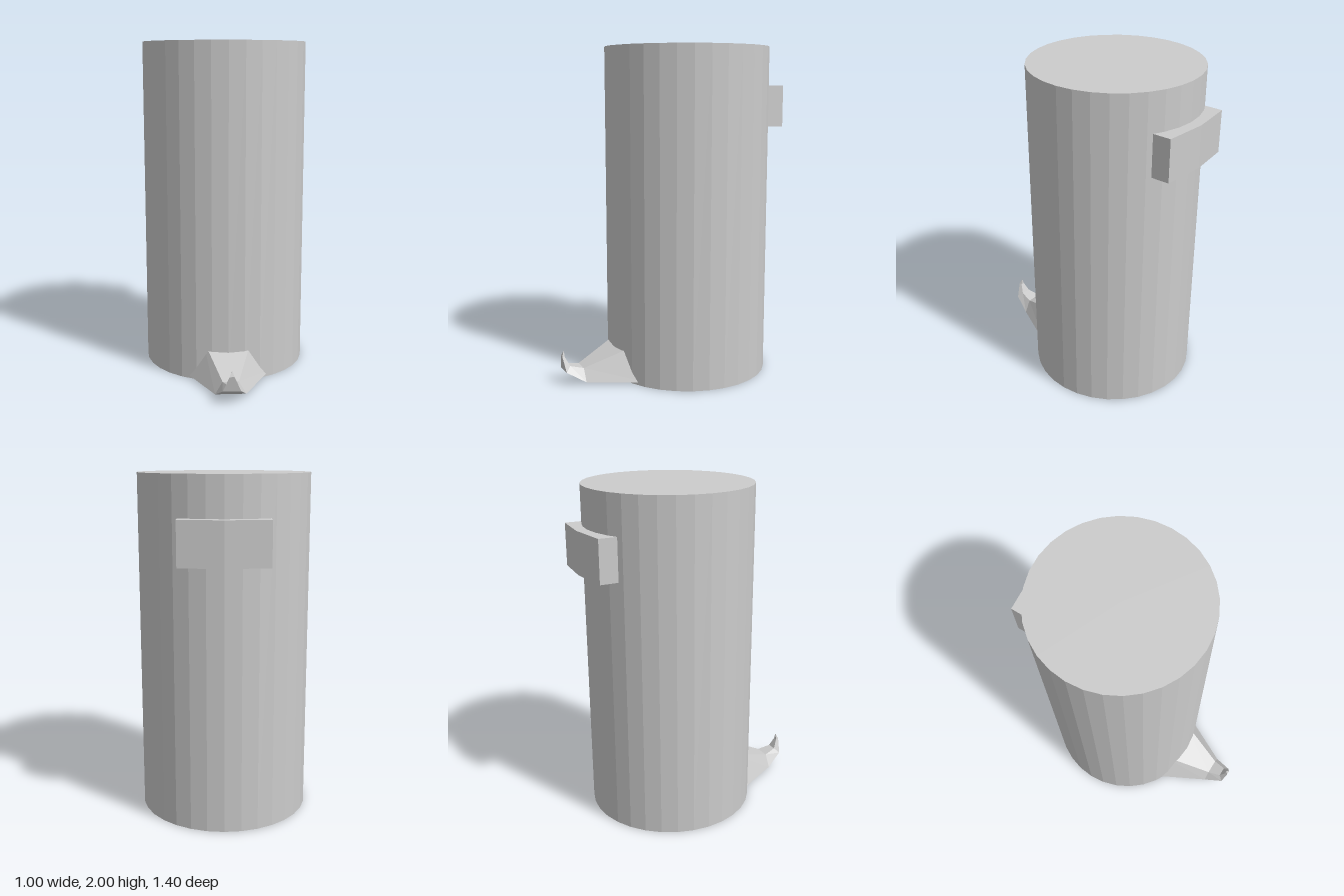
import * as THREE from 'three';

const CENTER_Z = -0.135, RADIUS = 0.5, SIDES = 32;

function addPart(group, name, geometry) {
  const material = new THREE.MeshStandardMaterial({ color: 0xcccccc, flatShading: true });
  const mesh = new THREE.Mesh(geometry, material);
  mesh.name = name;
  group.add(mesh);
  return mesh;
}

// Joins four-cornered sections (bottom right, bottom left, top left, top right) with flat faces.
function loft(sections) {
  const rings = sections.map(([zb, yb, xb, zt, yt, xt]) => [
    [-xb, yb, zb], [xb, yb, zb], [xt, yt, zt], [-xt, yt, zt],
  ]);
  const positions = [];
  const quad = (a, b, c, d) => positions.push(...a, ...b, ...c, ...a, ...c, ...d);
  for (let i = 0; i < rings.length - 1; i++) {
    const p = rings[i], q = rings[i + 1];
    for (let j = 0; j < 4; j++) {
      const k = (j + 1) % 4;
      quad(p[j], p[k], q[k], q[j]);
    }
  }
  const first = rings[0], last = rings[rings.length - 1];
  quad(first[3], first[2], first[1], first[0]);
  quad(last[0], last[1], last[2], last[3]);
  // Wind every face outwards
  const geometry = new THREE.BufferGeometry();
  geometry.setAttribute('position', new THREE.Float32BufferAttribute(positions, 3));
  geometry.computeVertexNormals();
  return geometry;
}

export function createModel() {
  const group = new THREE.Group();
  group.name = 'pedalBin';

  // Faceted body
  const body = addPart(group, 'body', new THREE.CylinderGeometry(RADIUS, RADIUS, 2, SIDES));
  body.position.set(0, 1, CENTER_Z);

  // Hinge block at the back, its inner side following the body
  const outline = new THREE.Shape();
  outline.moveTo(0.25, 0.54);
  outline.lineTo(0, 0.565);
  outline.lineTo(-0.25, 0.54);
  outline.lineTo(-0.25, 0.432);
  for (let i = -2; i <= 2; i++) {
    const angle = (i / SIDES) * Math.PI * 2;
    outline.lineTo(Math.sin(angle) * RADIUS, Math.cos(angle) * RADIUS);
  }
  outline.lineTo(0.25, 0.432);
  const block = new THREE.ExtrudeGeometry(outline, { depth: 0.25, bevelEnabled: false });
  block.rotateX(-Math.PI / 2);
  const hinge = addPart(group, 'hingeBlock', block);
  hinge.position.set(0, 1.52, CENTER_Z);

  // Foot pedal: tapers forward, then curls up to a point
  // Each section: bottom z, y, half width, then top z, y, half width
  addPart(group, 'pedal', loft([
    [0.25, 0.015, 0.261, 0.25, 0.226, 0.15],
    [0.58, 0.015, 0.09, 0.58, 0.09, 0.047],
    [0.69, 0.08, 0.052, 0.66, 0.11, 0.03],
    [0.703, 0.17, 0.014, 0.687, 0.165, 0.012],
    [0.69, 0.2, 0.001, 0.688, 0.2, 0.001],
  ]));

  return group;
}
